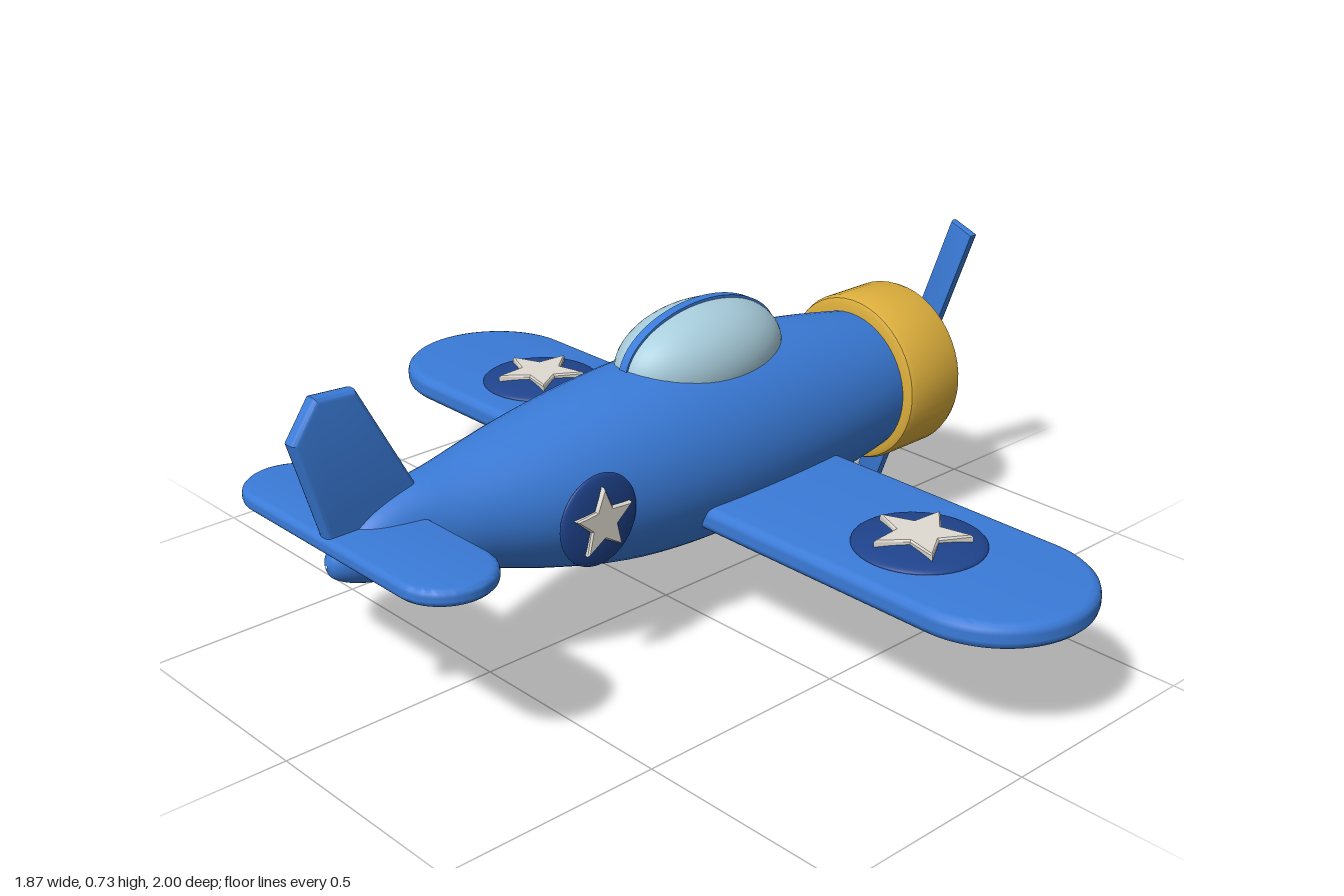
import * as THREE from 'three';
import { toCreasedNormals } from 'three/addons/utils/BufferGeometryUtils.js';

const mat = (name, color) => {
  const m = new THREE.MeshStandardMaterial({ color });
  m.name = name;
  return m;
};

// Extrudes a shape with rounded edges, centred on its thickness; the outline already allows for the bevel
function slab(shape, thickness, bevel, segments = 3) {
  const depth = thickness - 2 * bevel;
  const g = new THREE.ExtrudeGeometry(shape, {
    depth, bevelEnabled: true, bevelThickness: bevel, bevelSize: bevel, bevelSegments: segments, curveSegments: 24,
  });
  g.translate(0, 0, -depth / 2);
  return toCreasedNormals(g, 0.6);
}

// Flat wing with semicircular tips, spanning z
function wingGeometry(halfChord, halfSpan, thickness, bevel) {
  const r = halfChord - bevel, s = halfSpan - halfChord;
  const shape = new THREE.Shape();
  shape.absarc(0, s, r, 0, Math.PI);
  shape.absarc(0, -s, r, Math.PI, 2 * Math.PI);
  shape.closePath();
  return slab(shape, thickness, bevel).rotateX(Math.PI / 2);
}

function starGeometry(radius, thickness) {
  const pts = [];
  for (let i = 0; i < 10; i++) {
    const r = (i % 2 ? 0.45 : 1) * (radius - 0.006), a = Math.PI / 2 + i * Math.PI / 5;
    pts.push(new THREE.Vector2(r * Math.cos(a), r * Math.sin(a)));
  }
  return slab(new THREE.Shape(pts), thickness, 0.004, 1);
}

// Loft of elliptical sections along x: [x, top, bottom, half width]
function fuselageGeometry() {
  const sections = [
    [-0.877, 0.384, 0.378, 0.003], [-0.865, 0.408, 0.353, 0.022], [-0.83, 0.435, 0.333, 0.042],
    [-0.77, 0.472, 0.316, 0.062], [-0.68, 0.5, 0.303, 0.08], [-0.58, 0.512, 0.282, 0.112],
    [-0.4, 0.542, 0.224, 0.165], [-0.2, 0.57, 0.172, 0.197], [0, 0.583, 0.151, 0.209],
    [0.2, 0.58, 0.154, 0.207], [0.4, 0.56, 0.17, 0.193], [0.58, 0.53, 0.194, 0.17], [0.7, 0.5, 0.225, 0.14],
  ];
  const curve = (f) => new THREE.CatmullRomCurve3(sections.map(f), false, 'catmullrom');
  const heights = curve(([x, t, b]) => new THREE.Vector3(x, t, b));
  const widths = curve(([x, , , w]) => new THREE.Vector3(x, w, 0));
  const rows = 60, n = 48, pos = [], index = [];
  for (let i = 0; i <= rows; i++) {
    const p = heights.getPoint(i / rows), w = widths.getPoint(i / rows).y;
    for (let j = 0; j < n; j++) {
      const a = (j / n) * Math.PI * 2;
      pos.push(p.x, (p.y + p.z) / 2 + Math.cos(a) * (p.y - p.z) / 2, Math.sin(a) * w);
      if (i === rows) continue;
      const k = (j + 1) % n, A = i * n + j, B = i * n + k;
      index.push(A, B, A + n, B, B + n, A + n);
    }
  }
  const g = new THREE.BufferGeometry();
  g.setAttribute('position', new THREE.Float32BufferAttribute(pos, 3));
  g.setIndex(index);
  g.computeVertexNormals();
  return g;
}

// Turned part along the x axis: pairs of [radius, x]
function turned(profile) {
  const g = new THREE.LatheGeometry(profile.map(([r, x]) => new THREE.Vector2(r, x)), 48);
  return toCreasedNormals(g.rotateZ(-Math.PI / 2), 0.7);
}

export function createModel() {
  const model = new THREE.Group();
  const blue = mat('body blue', 0x3a7bd8);
  const navy = mat('roundel navy', 0x1f438c);
  const gold = mat('cowl gold', 0xdcae3c);
  const dark = mat('engine brown', 0x3a291c);
  const white = mat('off white', 0xdfdbd2);
  const glass = mat('canopy glass', 0xa8cddc);

  const add = (name, geometry, material, x = 0, y = 0, z = 0, parent = model) => {
    const mesh = new THREE.Mesh(geometry, material);
    mesh.name = name;
    mesh.position.set(x, y, z);
    parent.add(mesh);
    return mesh;
  };

  add('fuselage', fuselageGeometry(), blue);
  add('wing', wingGeometry(0.21, 1, 0.055, 0.02), blue, 0.145, 0.278, 0);
  add('tailplane', wingGeometry(0.103, 0.35, 0.036, 0.014), blue, -0.782, 0.427, 0);

  // Fin
  const fin = [[-0.86, 0.42], [-0.66, 0.42], [-0.682, 0.495], [-0.8, 0.715], [-0.878, 0.72], [-0.927, 0.65]];
  add('fin', slab(new THREE.Shape(fin.map(([x, y]) => new THREE.Vector2(x, y))), 0.036, 0.011), blue);

  // Canopy with a centre rib
  add('canopy', new THREE.SphereGeometry(1, 48, 32).scale(0.22, 0.122, 0.126), glass, 0.097, 0.556, 0);
  add('canopyRib', new THREE.CylinderGeometry(1, 1, 0.022, 64).rotateX(Math.PI / 2).scale(0.223, 0.128, 1),
    blue, 0.097, 0.556, 0);

  // Engine
  const nose = new THREE.Group();
  nose.name = 'nose';
  nose.position.y = 0.367;
  model.add(nose);
  add('cowl', turned([[0.14, 0.582], [0.182, 0.582], [0.193, 0.587], [0.198, 0.6], [0.198, 0.737],
    [0.193, 0.75], [0.182, 0.756], [0.165, 0.756], [0.154, 0.75], [0.148, 0.735], [0.148, 0.7]]), gold, 0, 0, 0, nose);
  add('engineFace', turned([[0, 0.68], [0.149, 0.68], [0.149, 0.78], [0, 0.78]]), dark, 0, 0, 0, nose);
  add('spinner', turned([[0, 0.775], [0.055, 0.775], [0.068, 0.788], [0.068, 0.8], [0.06, 0.818], [0, 0.927]]),
    white, 0, 0, 0, nose);

  // Propeller
  const b = 0.008, w = 0.0335 - b, h = 0.373 - b;
  const blade = new THREE.Shape([[-w, -h], [w, -h], [w, h], [-w, h]].map(([x, y]) => new THREE.Vector2(x, y)));
  add('propeller', slab(blade, 0.024, b, 2).rotateY(Math.PI / 2), blue, 0.818, -0.002, 0, nose)
    .rotation.x = THREE.MathUtils.degToRad(20);

  // Star roundels, domed discs facing +z before placing
  const roundel = (name, radius, bulge, starRadius, starTop) => {
    const g = new THREE.Group();
    g.name = name;
    add('disc', new THREE.SphereGeometry(1, 48, 24).scale(radius, radius, bulge), navy, 0, 0, 0, g);
    add('star', starGeometry(starRadius, 0.02), white, 0, 0, starTop - 0.01, g);
    model.add(g);
    return g;
  };
  for (const side of [1, -1]) {
    const r = roundel(side > 0 ? 'frontWingRoundel' : 'rearWingRoundel', 0.14, 0.02, 0.108, 0.028);
    r.position.set(0.143, 0.306, side * 0.6);
    r.rotation.x = -Math.PI / 2;
  }
  roundel('sideRoundel', 0.1, 0.016, 0.077, 0.022).position.set(-0.358, 0.377, 0.189);

  return model;
}
